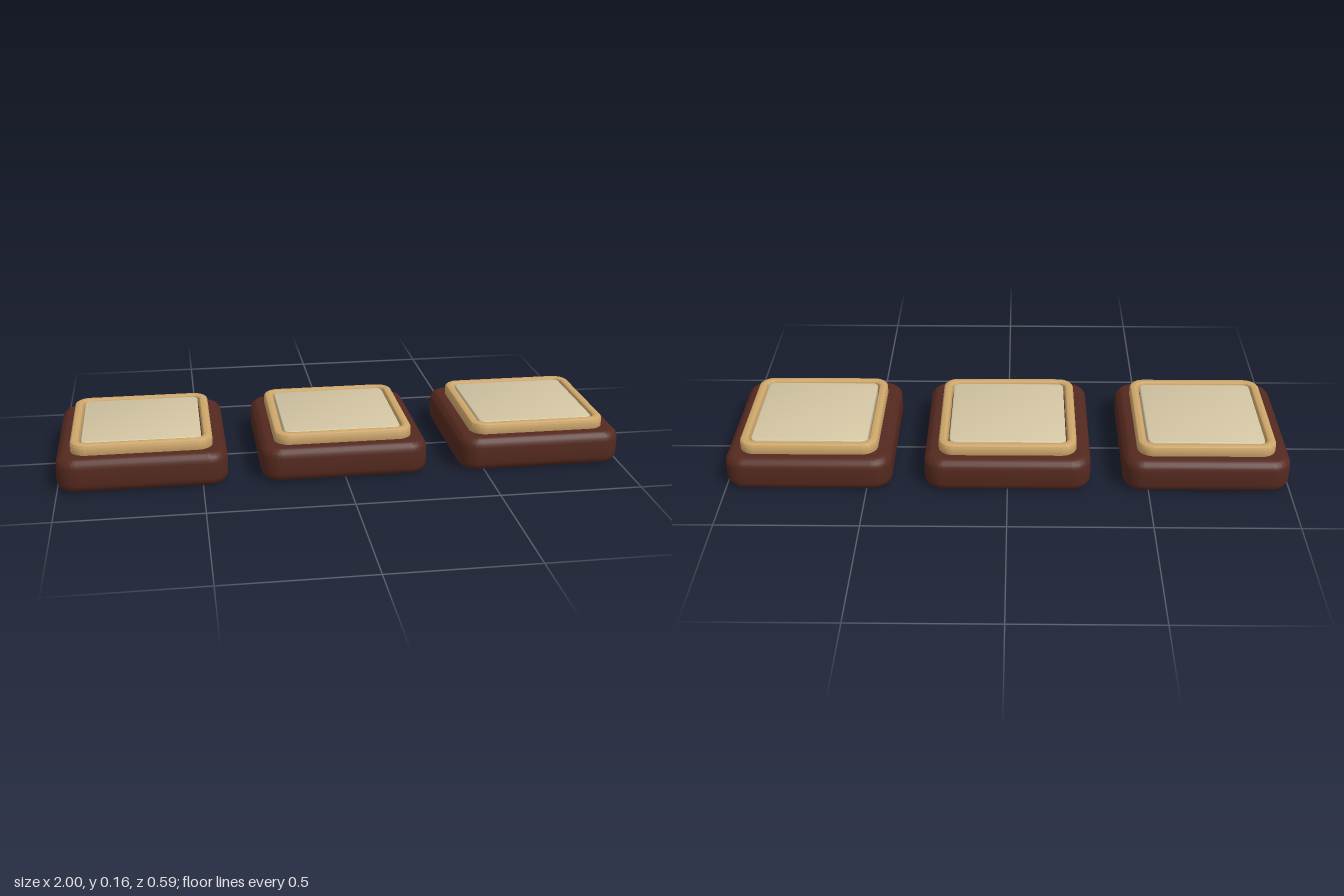
import * as THREE from 'three';
import { toCreasedNormals } from 'three/addons/utils/BufferGeometryUtils.js';

const material = (name, color) => new THREE.MeshStandardMaterial({ name, color });

// Rounded square outline of half-width h and corner radius r
function roundedSquare(h, r, Type = THREE.Shape) {
  const s = new Type();
  s.absarc(h - r, h - r, r, 0, Math.PI / 2);
  s.absarc(-h + r, h - r, r, Math.PI / 2, Math.PI);
  s.absarc(-h + r, -h + r, r, Math.PI, Math.PI * 1.5);
  s.absarc(h - r, -h + r, r, Math.PI * 1.5, Math.PI * 2);
  s.closePath();
  return s;
}

// Extruded slab between two heights, with rounded edges inside its outline
function slab(shape, y0, y1, bevel) {
  const geo = new THREE.ExtrudeGeometry(shape, {
    depth: y1 - y0 - 2 * bevel,
    bevelEnabled: bevel > 0,
    bevelThickness: bevel,
    bevelSize: bevel,
    bevelOffset: -bevel,
    bevelSegments: 5,
    curveSegments: 8,
  });
  geo.rotateX(-Math.PI / 2);
  geo.translate(0, y0 + bevel, 0);
  return toCreasedNormals(geo, 0.7);
}

export function createModel() {
  const darkWood = material('dark wood', 0x54291f);
  const tan = material('tan frame', 0xcda66a);
  const cream = material('cream panel', 0xd2c5a3);

  // Frame ring with a rounded-square opening
  const ring = roundedSquare(0.245, 0.055);
  ring.holes.push(roundedSquare(0.212, 0.028, THREE.Path));

  const parts = [
    ['base', slab(roundedSquare(0.295, 0.07), 0.003, 0.126, 0.034), darkWood],
    ['frame', slab(ring, 0.115, 0.164, 0.012), tan],
    ['panel', slab(roundedSquare(0.207, 0.024), 0.115, 0.16, 0.004), cream],
  ];

  // Three matching tiles in a row
  const model = new THREE.Group();
  model.name = 'tileRow';
  ['rightTile', 'middleTile', 'leftTile'].forEach((name, i) => {
    const tile = new THREE.Group();
    tile.name = name;
    tile.position.x = (i - 1) * 0.705;
    for (const [partName, geo, mat] of parts) {
      const mesh = new THREE.Mesh(geo, mat);
      mesh.name = partName;
      tile.add(mesh);
    }
    model.add(tile);
  });
  return model;
}
